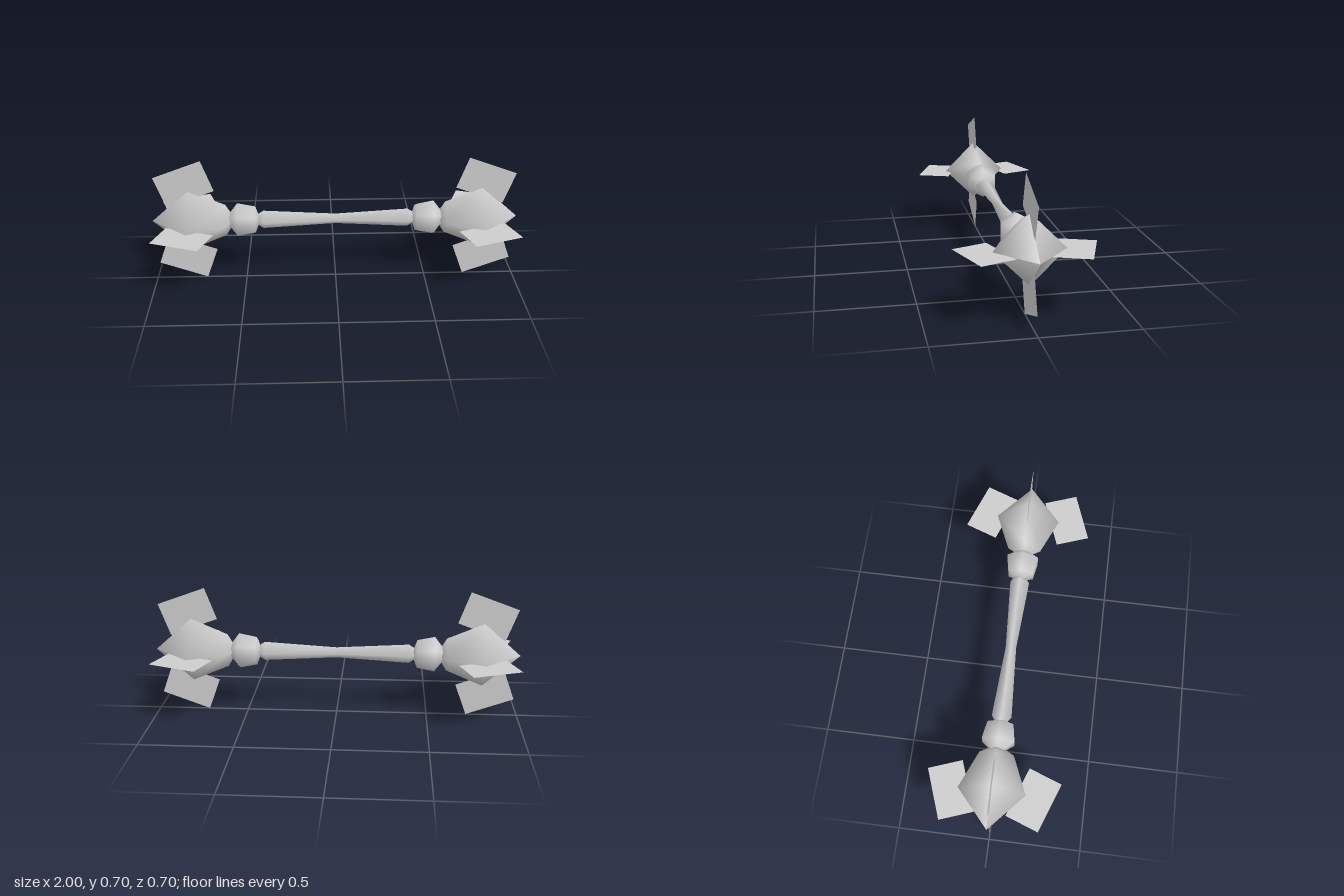
import * as THREE from 'three';

const CENTRE_Y = 0.355;
const BODY_Z = -0.005;

// Smooth low-poly solid turned around the x axis, from [x, radius] pairs with x rising.
function turned(name, profile, sides, material) {
  const points = profile.map(([x, r]) => new THREE.Vector2(r, x));
  const geometry = new THREE.LatheGeometry(points, sides, Math.PI / 2);
  geometry.rotateZ(-Math.PI / 2);
  const mesh = new THREE.Mesh(geometry, material);
  mesh.name = name;
  mesh.position.z = BODY_Z;
  return mesh;
}

export function createModel() {
  const model = new THREE.Group();
  model.name = 'doubleEndedMace';

  const steel = new THREE.MeshStandardMaterial({ color: 0xcccccc });
  steel.name = 'grey steel';
  steel.side = THREE.DoubleSide;

  // Grip, narrow in the middle and flared towards both ends
  model.add(turned('grip', [
    [-0.43, 0.03], [-0.395, 0.053], [0, 0.029], [0.395, 0.053], [0.43, 0.03],
  ], 4, steel));

  const knobProfile = [[0.42, 0.025], [0.44, 0.08], [0.535, 0.1], [0.58, 0.04]];
  const headProfile = [[0.57, 0.04], [0.6, 0.092], [0.8, 0.178], [1, 0]];

  for (const side of [1, -1]) {
    const end = new THREE.Group();
    end.name = side > 0 ? 'leftEnd' : 'rightEnd';

    // Collar knob and pointed four-sided head, mirrored along x
    const along = (profile) => (side > 0 ? profile : profile.map(([x, r]) => [-x, r]).reverse());
    end.add(turned('collarKnob', along(knobProfile), 6, steel));
    end.add(turned('pointedHead', along(headProfile), 4, steel));

    // Four thin tilted blades around the head
    for (let k = 0; k < 4; k++) {
      const geometry = new THREE.PlaneGeometry(0.277, 0.186);
      geometry.rotateZ(-side * THREE.MathUtils.degToRad(20));
      geometry.translate(side * 0.818, 0.217, 0);
      geometry.rotateX(k * Math.PI / 2);
      const blade = new THREE.Mesh(geometry, steel);
      blade.name = 'blade' + (k + 1);
      end.add(blade);
    }
    model.add(end);
  }

  model.position.y = CENTRE_Y;
  const root = new THREE.Group();
  root.name = 'mace';
  root.add(model);
  return root;
}
